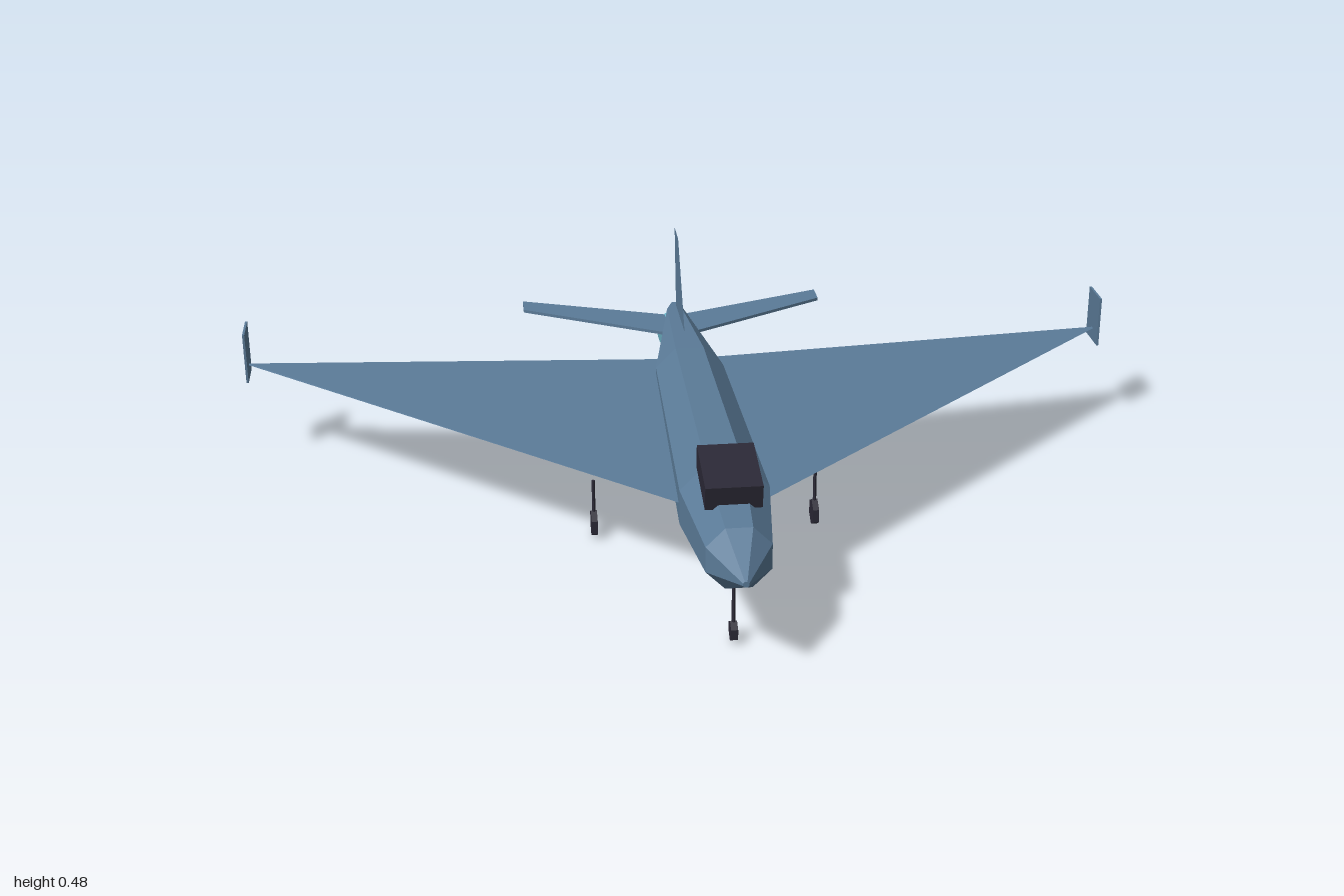
import * as THREE from 'three';

const paint = (name, color, extra = {}) =>
  Object.assign(new THREE.MeshStandardMaterial({ color, flatShading: true, ...extra }), { name });

// Closed loft through rings of points; faces are turned outward by signed volume.
function loft(rings) {
  const n = rings[0].length, tris = [];
  for (let r = 0; r < rings.length - 1; r++) {
    for (let i = 0; i < n; i++) {
      const j = (i + 1) % n;
      const a = rings[r][i], b = rings[r][j], c = rings[r + 1][j], d = rings[r + 1][i];
      tris.push([a, b, c], [a, c, d]);
    }
  }
  const first = rings[0], last = rings[rings.length - 1];
  for (let i = 1; i < n - 1; i++) {
    tris.push([first[0], first[i + 1], first[i]], [last[0], last[i], last[i + 1]]);
  }
  const v = (p) => new THREE.Vector3(...p);
  const volume = tris.reduce((s, [a, b, c]) => s + v(a).dot(v(b).cross(v(c))), 0);
  if (volume < 0) tris.forEach((t) => t.reverse());
  const geo = new THREE.BufferGeometry();
  geo.setAttribute('position', new THREE.Float32BufferAttribute(tris.flat(2), 3));
  geo.computeVertexNormals();
  return geo;
}

export function createModel() {
  const model = new THREE.Group();
  model.name = 'deltaWingAircraft';
  const blue = paint('airframeBlue', 0x5b7b98);
  const finBlue = paint('airframeBlue', 0x5b7b98, { side: THREE.DoubleSide });
  const dark = paint('darkTrim', 0x2b2936);
  const bay = paint('bayDoor', 0x2a1c24);
  const teal = paint('engineGlow', 0x6fb6c8);

  const add = (name, geo, mat, x = 0, y = 0, z = 0) => {
    const mesh = new THREE.Mesh(geo, mat);
    mesh.name = name;
    mesh.position.set(x, y, z);
    model.add(mesh);
    return mesh;
  };

  // Fuselage: octagonal stations of z, centre height, half width, half height
  const stations = [
    [0.7, 0.223, 0.006, 0.006],
    [0.6, 0.226, 0.064, 0.064],
    [0.38, 0.229, 0.09, 0.09],
    [-0.25, 0.235, 0.076, 0.076],
    [-0.565, 0.273, 0.019, 0.028],
  ];
  const k = 1 / Math.cos(Math.PI / 8);
  add('fuselage', loft(stations.map(([z, y, w, h]) =>
    Array.from({ length: 8 }, (_, i) => {
      const a = ((i + 0.5) * Math.PI) / 4;
      return [Math.cos(a) * w * k, y + Math.sin(a) * h * k, z];
    }))), blue);

  // Canopy, tipped nose-down
  add('canopy', new THREE.BoxGeometry(0.112, 0.05, 0.145), dark, 0, 0.328, 0.453).rotation.x = 0.18;

  // Wings, winglets, tailplanes and main gear on both sides
  for (const [side, s] of [['left', 1], ['right', -1]]) {
    // Wedge section: sharp leading edge, blunt trailing edge
    const wedge = (x, zFront, zBack, half) => [
      [s * x, 0.23, zFront], [s * x, 0.23 + half, zBack], [s * x, 0.23 - half, zBack],
    ];
    add(side + 'Wing', loft([
      wedge(0.05, 0.396, -0.323, 0.026),
      wedge(0.997, -0.461, -0.467, 0.001),
    ]), blue);

    add(side + 'Winglet', new THREE.BoxGeometry(0.005, 0.118, 0.086), blue, s * 0.9975, 0.259, -0.467);

    const slab = (x, zFront, zBack) => [
      [s * x, 0.267, zFront], [s * x, 0.267, zBack], [s * x, 0.26, zBack], [s * x, 0.26, zFront],
    ];
    add(side + 'Tailplane', loft([slab(0, -0.44, -0.565), slab(0.357, -0.643, -0.7)]), blue);

    add(side + 'MainStrut', new THREE.CylinderGeometry(0.004, 0.004, 0.1, 6), dark, s * 0.24, 0.085, 0.043);
    add(side + 'MainWheel', new THREE.CylinderGeometry(0.03, 0.03, 0.013, 6).rotateZ(Math.PI / 2),
      dark, s * 0.24, 0.034, 0.043).rotation.x = Math.PI / 6 * 3;
  }

  // Upright fin, a single double-sided sheet drawn in (z, y)
  const fin = new THREE.Shape([[0.347, 0.3], [0.487, 0.487], [0.565, 0.487], [0.54, 0.28]]
    .map(([z, y]) => new THREE.Vector2(z, y)));
  add('tailFin', new THREE.ShapeGeometry(fin).rotateY(Math.PI / 2), finBlue);

  // Exhaust disc under the tail
  add('exhaust', new THREE.CylinderGeometry(0.045, 0.045, 0.028, 12).rotateX(Math.PI / 2), teal, 0, 0.23, -0.564);

  // Nose gear, sensor ball and belly door
  add('noseStrut', new THREE.CylinderGeometry(0.004, 0.004, 0.1, 6), dark, 0, 0.085, 0.526);
  add('noseWheel', new THREE.CylinderGeometry(0.022, 0.022, 0.014, 6).rotateZ(Math.PI / 2),
    dark, 0, 0.027, 0.526).rotation.x = Math.PI / 2;
  add('sensorBall', new THREE.SphereGeometry(0.026, 6, 4), dark, 0, 0.136, 0.5);
  add('bellyDoor', new THREE.BoxGeometry(0.09, 0.004, 0.315), bay, 0, 0.13, 0.068);

  return model;
}
